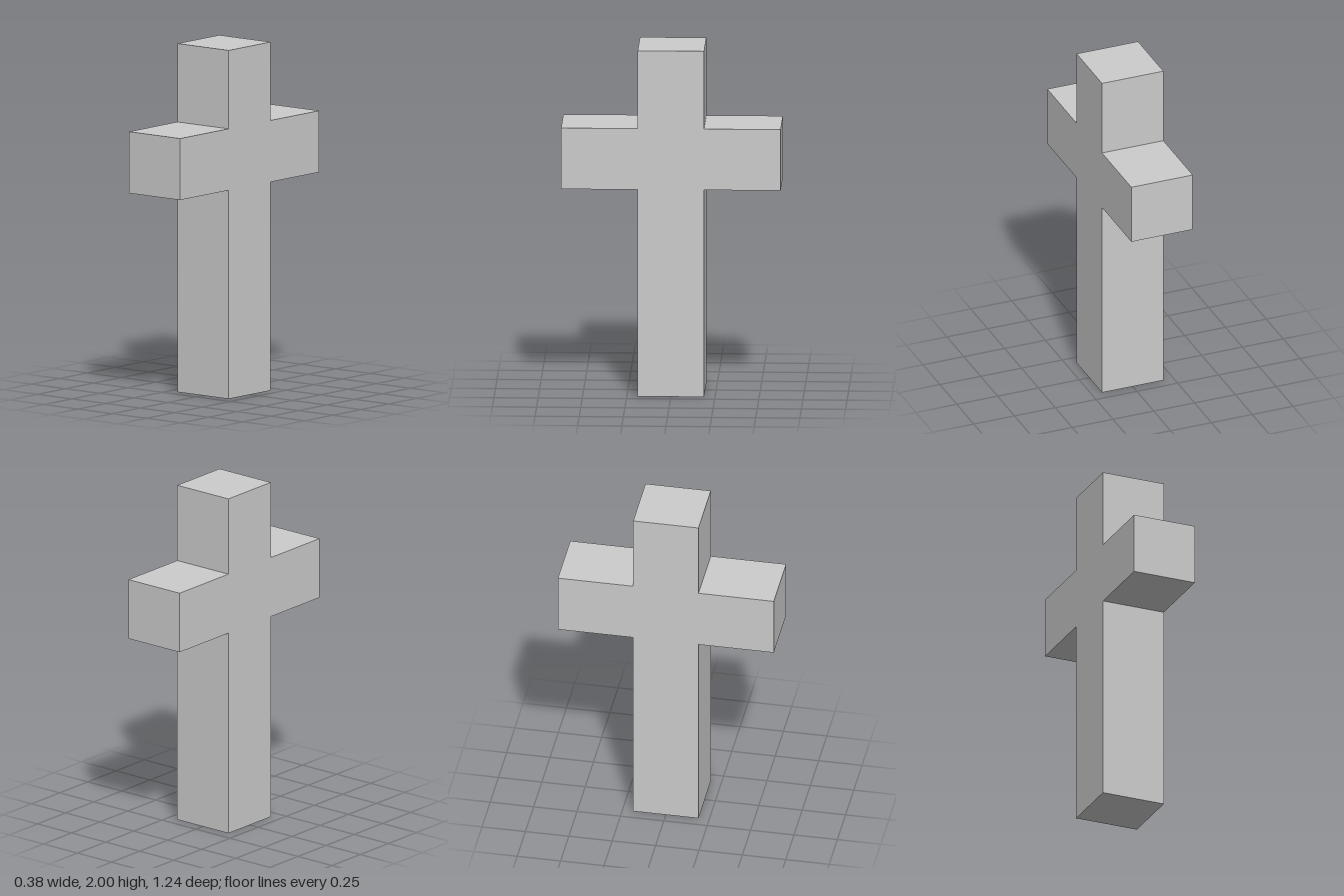
import * as THREE from 'three';

export function createModel() {
  const group = new THREE.Group();
  const half = 0.188;   // half thickness of the post
  const reach = 0.622;  // half span of the arms
  const height = 2, armBottom = 1.197, armTop = 1.55;

  // One half of the outline, bottom to top, then mirrored
  const side = [
    [half, 0], [half, armBottom], [reach, armBottom],
    [reach, armTop], [half, armTop], [half, height],
  ];
  const mirrored = side.map(([x, y]) => [-x, y]).reverse();
  const outline = new THREE.Shape([...side, ...mirrored].map(([x, y]) => new THREE.Vector2(x, y)));

  // Solid cross, with its arms turned to run along z
  const geometry = new THREE.ExtrudeGeometry(outline, { depth: 2 * half, bevelEnabled: false });
  geometry.translate(0, 0, -half);
  geometry.rotateY(Math.PI / 2);

  const cross = new THREE.Mesh(geometry, new THREE.MeshStandardMaterial({ color: 0xcccccc, flatShading: true }));
  cross.name = 'cross';
  group.add(cross);
  return group;
}
